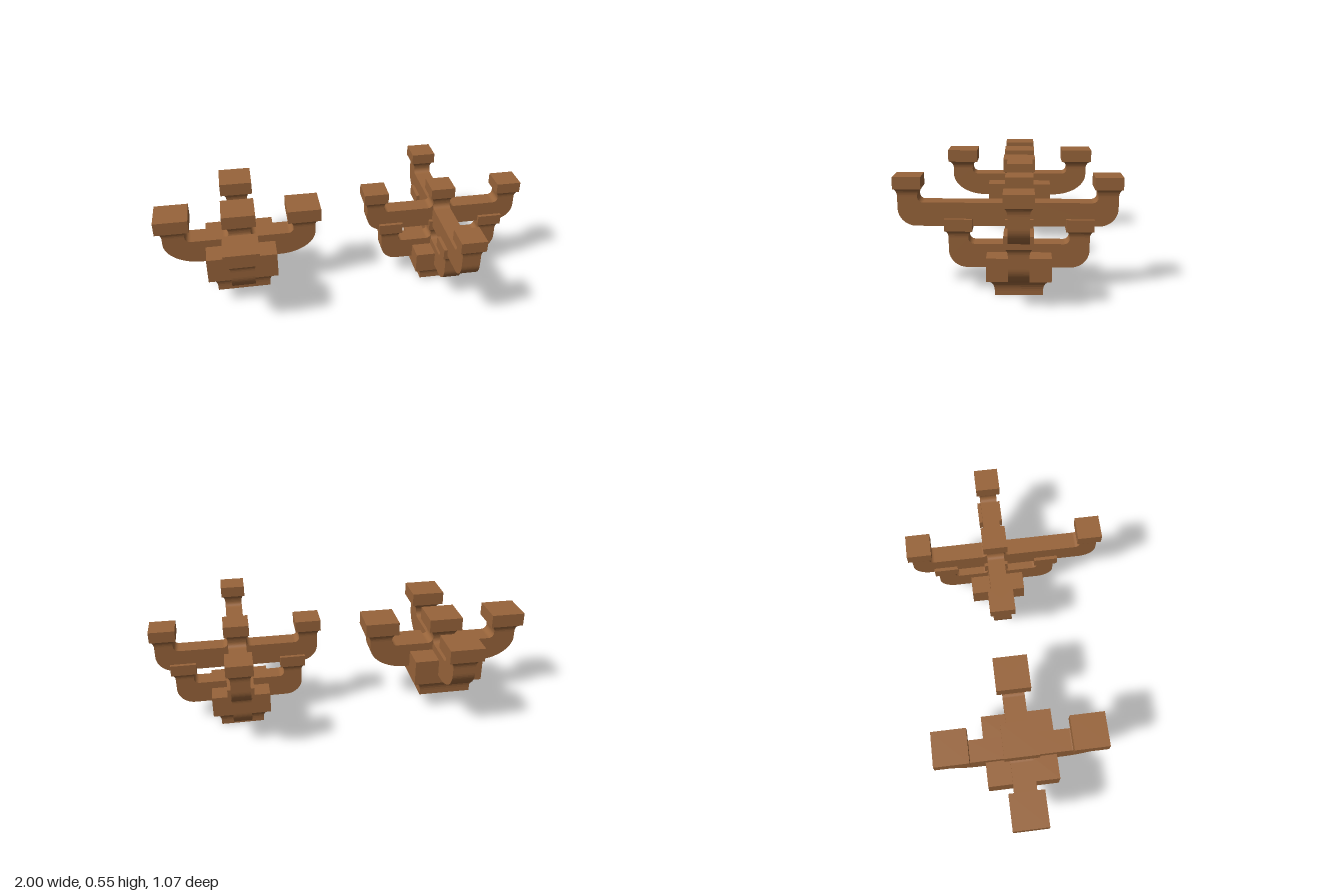
import * as THREE from 'three';

const wood = new THREE.MeshStandardMaterial({ color: 0x98643a });
wood.name = 'brown timber';

function addMesh(parent, geometry, name) {
  const mesh = new THREE.Mesh(geometry, wood);
  mesh.name = name;
  parent.add(mesh);
  return mesh;
}

// Square block on a concave flared foot: half widths foot -> top, heights y0 -> y1 -> y2
function flaredBlock(parent, name, x, z, foot, top, y0, y1, y2, straight = 0) {
  const pts = [[0, y0], [foot, y0]];
  const ys = y0 + straight;
  for (let i = straight ? 0 : 1; i <= 8; i++) {
    const a = (i / 8) * Math.PI / 2;
    pts.push([top - (top - foot) * Math.cos(a), ys + (y1 - ys) * Math.sin(a)]);
  }
  pts.push([top, y2], [0, y2]);
  const profile = pts.map(([r, y]) => new THREE.Vector2(r * Math.SQRT2, y));
  const indexed = new THREE.LatheGeometry(profile, 4, Math.PI / 4);
  const geometry = indexed.toNonIndexed();
  geometry.computeVertexNormals();
  addMesh(parent, geometry, name).position.set(x, 0, z);
}

// Bracket arm: a beam with rounded lower ends, two end necks and a middle neck
function armGeometry({ n, L, R, y0, y1, y2, rx, ry, f }) {
  const s = new THREE.Shape();
  const H = Math.PI / 2;
  s.moveTo(-L - n + rx, y0);
  s.lineTo(R + n - rx, y0);
  s.absellipse(R + n - rx, y0 + ry, rx, ry, -H, 0, false);
  s.lineTo(R + n, y2);
  s.lineTo(R - n, y2);
  // Round-bottomed gaps between the necks
  for (const [right, left] of [[R - n, n], [-n, -L + n]]) {
    s.lineTo(right, y1 + f);
    s.absarc(right - f, y1 + f, f, 0, -H, true);
    s.lineTo(left + f, y1);
    s.absarc(left + f, y1 + f, f, -H, -2 * H, true);
    s.lineTo(left, y2);
    s.lineTo(left === n ? -n : -L - n, y2);
  }
  s.lineTo(-L - n, y0 + ry);
  s.absellipse(-L - n + rx, y0 + ry, rx, ry, 2 * H, 3 * H, false);
  const g = new THREE.ExtrudeGeometry(s, { depth: 2 * n, bevelEnabled: false, curveSegments: 10 });
  return g.translate(0, 0, -n);
}

// Crossed pair of arms with a bearing block on every neck
function addTier(parent, name, t) {
  const tier = new THREE.Group();
  tier.name = name;
  parent.add(tier);
  addMesh(tier, armGeometry({ ...t, L: t.x, R: t.x }), 'crossArm');
  const long = addMesh(tier, armGeometry({ ...t, L: t.back, R: t.front }), 'frontBackArm');
  long.rotation.y = -Math.PI / 2;
  const spots = [[0, 0], [t.x, 0], [-t.x, 0], [0, t.front], [0, -t.back]];
  for (const [x, z] of spots) {
    flaredBlock(tier, 'bearingBlock', x, z, t.n, t.cap, t.y2, t.capY, t.capTop);
  }
}

export function createModel() {
  const model = new THREE.Group();
  model.name = 'bracketSets';

  // Single-tier bracket
  const single = new THREE.Group();
  single.name = 'singleBracket';
  single.position.set(-0.56, 0, -0.048);
  flaredBlock(single, 'baseBlock', 0, 0, 0.142, 0.187, 0.088, 0.18, 0.32, 0.025);
  addTier(single, 'armTier', {
    n: 0.059, x: 0.35, front: 0.352, back: 0.352, y0: 0.23, y1: 0.363, y2: 0.395,
    rx: 0.2, ry: 0.13, f: 0.03, cap: 0.09, capY: 0.441, capTop: 0.513,
  });
  model.add(single);

  // Two-tier bracket
  const double = new THREE.Group();
  double.name = 'doubleBracket';
  double.position.set(0.56, 0, -0.053);
  flaredBlock(double, 'baseBlock', 0, 0, 0.113, 0.152, 0, 0.077, 0.19, 0.02);
  const shared = { n: 0.047, rx: 0.088, ry: 0.086, f: 0.027, cap: 0.066 };
  addTier(double, 'lowerTier', {
    ...shared, x: 0.286, front: 0.286, back: 0.286,
    y0: 0.115, y1: 0.23, y2: 0.258, capY: 0.294, capTop: 0.352,
  });
  addTier(double, 'upperTier', {
    ...shared, x: 0.373, front: 0.523, back: 0.416,
    y0: 0.317, y1: 0.429, y2: 0.457, capY: 0.495, capTop: 0.553,
  });
  model.add(double);

  return model;
}
